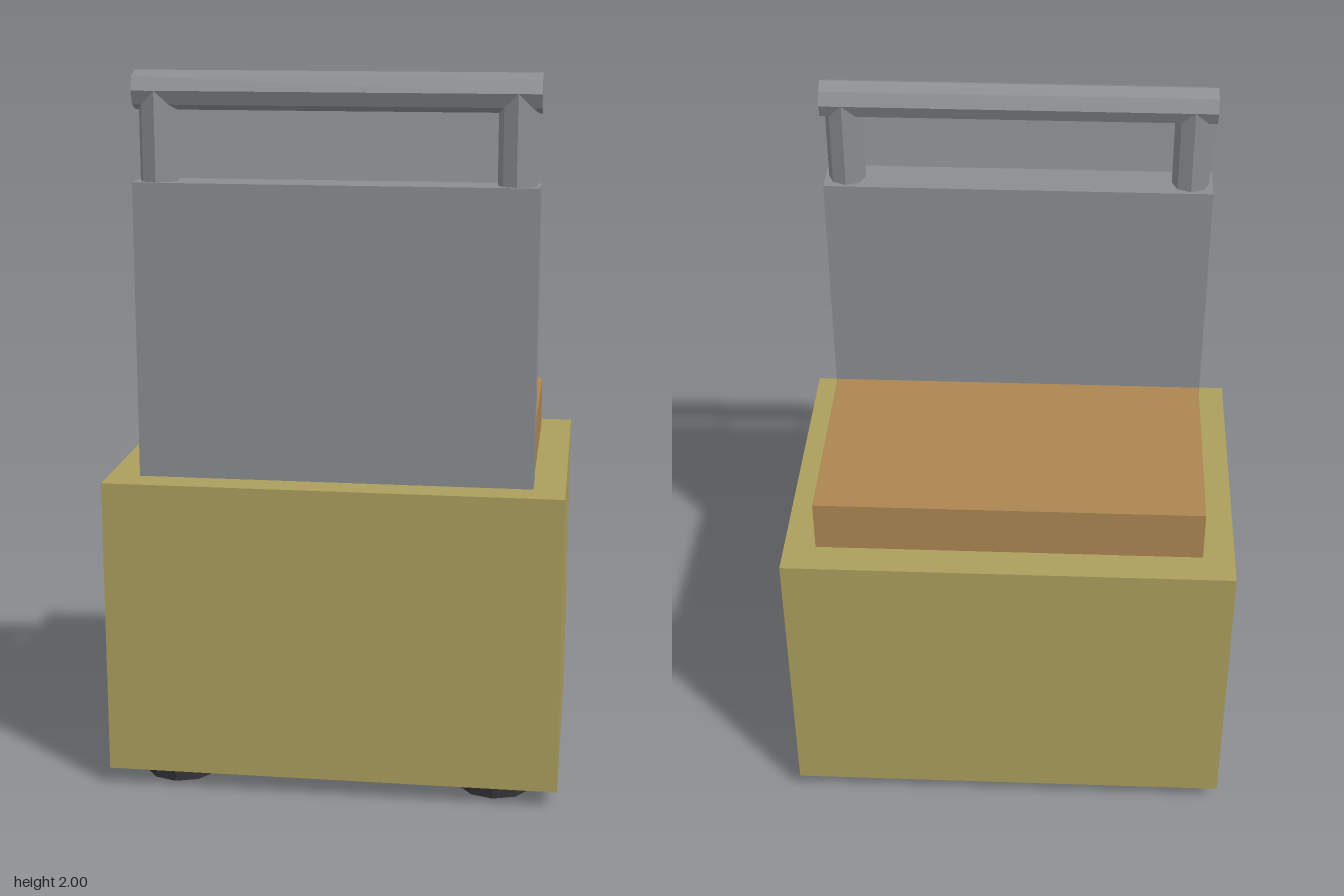
import * as THREE from 'three';

export function createModel() {
  const model = new THREE.Group();
  const material = (color) => new THREE.MeshStandardMaterial({ color, flatShading: true });
  const olive = material(0xab9e5d);
  const tan = material(0xac8652);
  const steel = material(0x8a8e91);
  const black = material(0x333335);

  const add = (name, geometry, mat, x, y, z) => {
    const mesh = new THREE.Mesh(geometry, mat);
    mesh.name = name;
    mesh.position.set(x, y, z);
    model.add(mesh);
    return mesh;
  };

  // Box body with a raised pad on top
  add('body', new THREE.BoxGeometry(1.265, 0.84, 0.906), olive, 0, 0.47, 0);
  add('topPad', new THREE.BoxGeometry(1.086, 0.15, 0.722), tan, 0, 0.967, 0);

  // Upright panel, slightly proud of the pad so their faces do not coincide
  add('panel', new THREE.BoxGeometry(1.09, 0.815, 0.122), steel, 0, 1.2975, 0.302);

  // Handle: two octagonal posts and a crossbar
  const r = 0.0525;
  for (const side of [-1, 1]) {
    add(side > 0 ? 'leftHandlePost' : 'rightHandlePost',
      new THREE.CylinderGeometry(r, r, 0.245, 8), steel, side * 0.483, 1.825, 0.302);
  }
  const bar = add('handleBar', new THREE.CylinderGeometry(r, r, 1.09, 8), steel, 0, 2 - r, 0.302);
  bar.rotation.z = Math.PI / 2;

  // Four ten-sided feet
  for (const x of [-0.453, 0.453]) {
    for (const z of [-0.303, 0.303]) {
      add('foot', new THREE.CylinderGeometry(0.105, 0.105, 0.06, 10), black, x, 0.03, z);
    }
  }
  return model;
}
